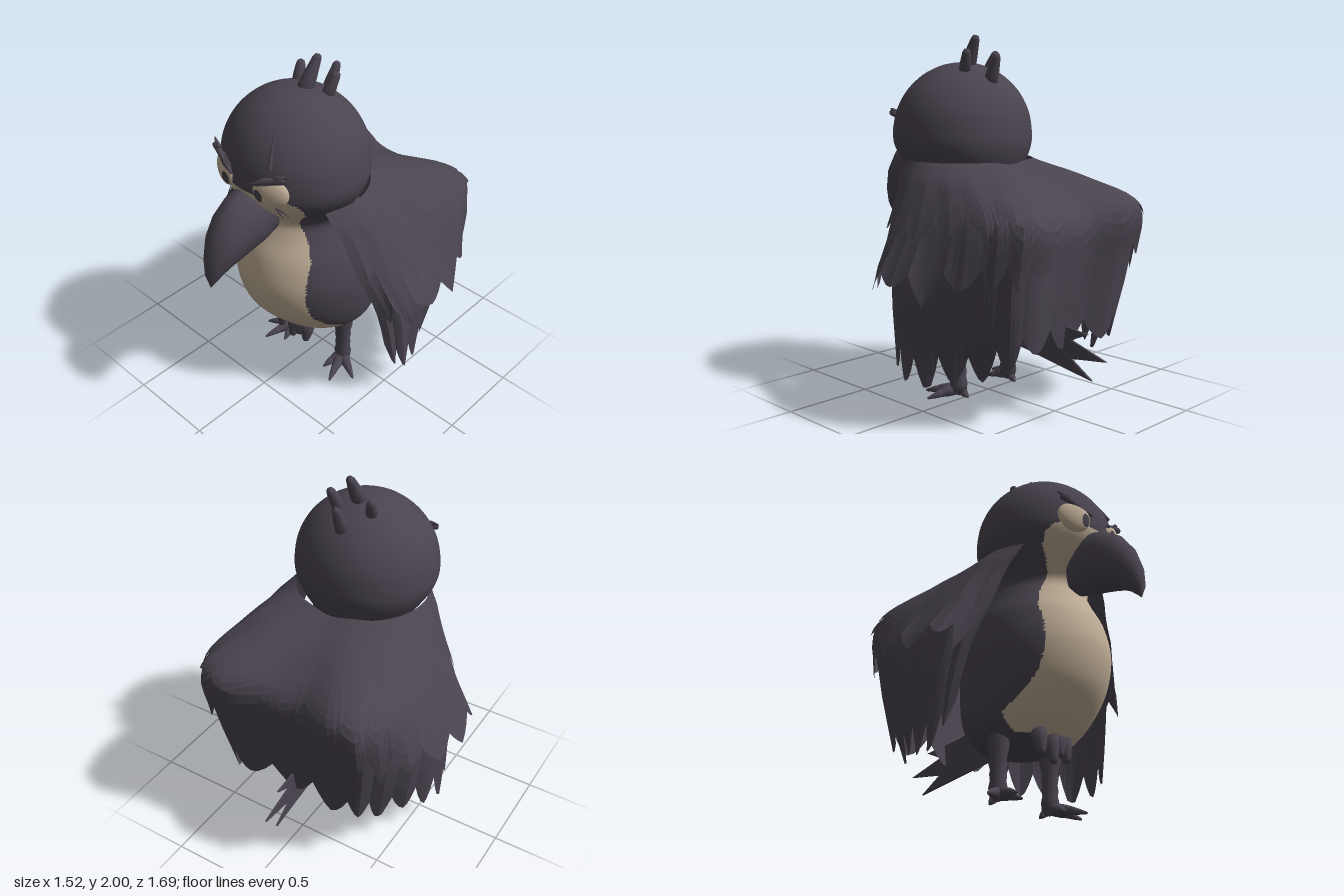
import * as THREE from 'three';

const plumage = new THREE.MeshStandardMaterial({ color: 0x4a444f, side: THREE.DoubleSide });
plumage.name = 'dark plumage';
const cream = new THREE.MeshStandardMaterial({ color: 0xc0ae97 });
cream.name = 'cream';

const V = (x, y, z) => new THREE.Vector3(x, y, z);

function add(parent, name, geo, mat = plumage) {
  const mesh = new THREE.Mesh(geo, mat);
  mesh.name = name;
  parent.add(mesh);
  return mesh;
}

// Grid of (rows+1) x (cols+1) points from fn(row 0..1, col 0..1)
function gridGeometry(rows, cols, fn) {
  const pos = [], index = [];
  for (let i = 0; i <= rows; i++)
    for (let j = 0; j <= cols; j++) pos.push(...fn(i / rows, j / cols).toArray());
  for (let i = 0; i < rows; i++)
    for (let j = 0; j < cols; j++) {
      const a = i * (cols + 1) + j, b = a + cols + 1;
      index.push(a, b, a + 1, a + 1, b, b + 1);
    }
  const geo = new THREE.BufferGeometry();
  geo.setAttribute('position', new THREE.Float32BufferAttribute(pos, 3));
  geo.setIndex(index);
  geo.computeVertexNormals();
  return geo;
}

// Sort triangles into dark (group 0) and cream (group 1) by their centre
function paint(geo, isCream) {
  const p = geo.attributes.position, idx = geo.index.array, lists = [[], []];
  for (let i = 0; i < idx.length; i += 3) {
    const c = V(0, 0, 0);
    for (let k = 0; k < 3; k++) c.add(V(0, 0, 0).fromBufferAttribute(p, idx[i + k]));
    c.divideScalar(3);
    lists[isCream(c) ? 1 : 0].push(idx[i], idx[i + 1], idx[i + 2]);
  }
  geo.setIndex([...lists[0], ...lists[1]]);
  geo.clearGroups();
  geo.addGroup(0, lists[0].length, 0);
  geo.addGroup(lists[0].length, lists[1].length, 1);
  return geo;
}

// Piecewise linear lookup in [[key, value], ...]
function lookup(table, k) {
  if (k < table[0][0] || k > table[table.length - 1][0]) return -1;
  const i = Math.max(1, table.findIndex((e) => e[0] >= k));
  const [a, b] = [table[i - 1], table[i]];
  return THREE.MathUtils.mapLinear(k, a[0], b[0], a[1], b[1]);
}

// Tapered round-tipped finger from a to b
function spike(parent, name, a, b, r0, r1) {
  const len = a.distanceTo(b);
  const prof = [[0, 0], [r0, 0], [(r0 + r1) / 2 * 1.05, len * 0.5], [r1, len - r1], [r1 * 0.7, len - r1 * 0.3], [0, len]];
  const geo = new THREE.LatheGeometry(prof.map(([x, y]) => new THREE.Vector2(x, y)), 10);
  geo.applyQuaternion(new THREE.Quaternion().setFromUnitVectors(V(0, 1, 0), b.clone().sub(a).normalize()));
  geo.translate(a.x, a.y, a.z);
  return add(parent, name, geo);
}

// Head and body as one loft of ellipses: y, half width, half depth, centre z
function bodyAndHead(g) {
  const rings = [
    [0.31, 0.001, 0.001, 0], [0.325, 0.18, 0.18, 0], [0.36, 0.265, 0.25, 0.01], [0.45, 0.335, 0.33, 0.04],
    [0.6, 0.37, 0.4, 0.09], [0.78, 0.385, 0.42, 0.115], [0.95, 0.36, 0.385, 0.12], [1.08, 0.3, 0.31, 0.13],
    [1.16, 0.27, 0.27, 0.14], [1.22, 0.29, 0.27, 0.16], [1.3, 0.345, 0.325, 0.18], [1.38, 0.388, 0.368, 0.195],
  ];
  for (const d of [0, 18, 36, 54, 70, 82, 90]) {
    const a = THREE.MathUtils.degToRad(d), c = Math.max(Math.cos(a), 0.002);
    rings.push([1.46 + 0.395 * Math.sin(a), 0.4 * c, 0.38 * c, 0.2]);
  }
  const size = new THREE.CatmullRomCurve3(rings.map((r) => V(r[0], r[1], r[2])), false, 'catmullrom', 0.5);
  const centre = new THREE.CatmullRomCurve3(rings.map((r) => V(r[3], 0, 0)), false, 'catmullrom', 0.5);
  const geo = gridGeometry(150, 180, (r, c) => {
    const s = size.getPoint(r), z = centre.getPoint(r).x, a = c * Math.PI * 2;
    return V(s.y * Math.sin(a), s.x, z - s.z * Math.cos(a));
  });
  const bib = [[0.35, 0.28], [0.42, 0.308], [0.5, 0.29], [0.62, 0.268], [0.8, 0.27], [0.98, 0.265], [1.08, 0.22],
    [1.16, 0.175], [1.2, 0.175], [1.25, 0.21], [1.31, 0.265], [1.37, 0.285], [1.41, 0.27], [1.44, 0.21]];
  paint(geo, (c) => c.z > 0.15 && Math.abs(c.x) < lookup(bib, c.y));
  add(g, 'bodyAndHead', geo, [plumage, cream]);
}

// Hooked beak: top z,y / bottom z,y / half width
function beak(g) {
  const secs = [
    [0.46, 1.42, 0.4, 1.11, 0.1], [0.57, 1.43, 0.5, 1.085, 0.122], [0.64, 1.41, 0.57, 1.075, 0.122],
    [0.72, 1.355, 0.64, 1.06, 0.114], [0.79, 1.26, 0.71, 1.04, 0.093], [0.835, 1.14, 0.765, 1.01, 0.06],
    [0.847, 1.04, 0.805, 0.975, 0.03], [0.828, 0.955, 0.827, 0.954, 0.001],
  ];
  add(g, 'beak', gridGeometry(secs.length - 1, 20, (r, c) => {
    const [tz, ty, bz, by, w] = secs[Math.round(r * (secs.length - 1))];
    const a = -c * Math.PI * 2, k = (1 + Math.cos(a)) / 2;
    return V(w * Math.sin(a), by + (ty - by) * k, bz + (tz - bz) * k);
  }));
}

// Half-closed eyes with painted lid and pupil, and slanted brows
function eye(g, s) {
  const geo = new THREE.SphereGeometry(1, 72, 54).rotateX(Math.PI / 2);
  geo.scale(0.096, 0.086, 0.042).rotateY(s * 0.42).translate(s * 0.16, 1.472, 0.533);
  paint(geo, (c) => {
    const x = Math.abs(c.x);
    const pupil = Math.hypot((x - 0.117) / 0.028, (c.y - 1.455) / 0.038) < 1;
    return c.y < 1.5 + (x - 0.07) * 0.3 && !pupil;
  });
  add(g, 'eye', geo, [plumage, cream]);
  spike(g, 'brow', V(s * 0.245, 1.575, 0.525), V(s * 0.065, 1.503, 0.586), 0.018, 0.008);
  spike(g, 'lash', V(s * 0.2, 1.575, 0.54), V(s * 0.265, 1.598, 0.51), 0.015, 0.004);
}

// Feather cloak: five-point strands from collar to hem, left side front to back
const half = [
  [[0.33, 1.32, 0.33], [0.4, 1.17, 0.28], [0.47, 0.97, 0.25], [0.55, 0.7, 0.17], [0.59, 0.33, 0.1]],
  [[0.37, 1.325, 0.17], [0.45, 1.18, 0.13], [0.54, 0.97, 0.1], [0.61, 0.7, 0.06], [0.615, 0.18, -0.02]],
  [[0.34, 1.325, 0.02], [0.45, 1.19, -0.1], [0.56, 0.99, -0.2], [0.61, 0.72, -0.22], [0.55, 0.21, -0.2]],
  [[0.24, 1.325, -0.11], [0.41, 1.22, -0.32], [0.53, 1.07, -0.52], [0.54, 0.76, -0.5], [0.43, 0.24, -0.39]],
  [[0.13, 1.325, -0.16], [0.28, 1.23, -0.45], [0.42, 1.09, -0.69], [0.41, 0.8, -0.65], [0.35, 0.36, -0.58]],
  [[0, 1.31, -0.18], [0, 1.21, -0.42], [0, 1.04, -0.62], [0, 0.78, -0.6], [0, 0.36, -0.54]],
];
const flares = [0.04, 0.12, 0.11, 0.03, 0.012, 0.008];

function cloak(g) {
  const mirrored = half.slice(0, 5).reverse().map((st) => st.map(([x, y, z]) => [-x, y, z]));
  const strands = [...half, ...mirrored].map((st) => new THREE.CatmullRomCurve3(st.map((p) => V(...p))));
  // name, feather count, hem position, notch depth, flare, lift
  const tiers = [['lowerFeathers', 15, 1, 0.075, 0, 0], ['middleFeathers', 17, 0.75, 0.08, 1, 0.008], ['upperFeathers', 15, 0.52, 0.09, 0.3, 0.016]];
  for (const [name, count, hem, notch, flare, lift] of tiers) {
    const geo = gridGeometry(12, count * 6, (t, u) => {
      const f = (u * count) % 1, edge = Math.abs(2 * f - 1), id = Math.floor(u * count);
      const vary = 0.03 * Math.sin(id * 2.4 + hem * 9) * (1 - edge);
      const end = hem - notch * Math.pow(edge, 1.6) + vary * (hem < 1 ? 1 : 0.5);
      const p = new THREE.CatmullRomCurve3(strands.map((c) => c.getPoint(Math.min(1, t * end)))).getPoint(u);
      const k = Math.abs(u - 0.5) * 2, fi = (1 - k) * 5, i0 = Math.min(4, Math.floor(fi));
      const fl = THREE.MathUtils.lerp(flares[i0], flares[i0 + 1], fi - i0) * flare;
      const out = V(p.x, 0, p.z + 0.1).normalize();
      return p.addScaledVector(out, fl * t * t * t + lift * Math.min(1, t * 3) + 0.018 * (1 - edge) * t);
    }).toNonIndexed();
    geo.computeVertexNormals();
    add(g, name, geo);
  }
}

// Upright tail fan on the centre line
function tail(g) {
  const pts = [[0.15, 0.6], [0.45, 0.5], [0.72, 0.47], [0.61, 0.42], [0.84, 0.35], [0.61, 0.32], [0.75, 0.23], [0.45, 0.28], [0.15, 0.33]];
  const shape = new THREE.Shape(pts.map((p) => new THREE.Vector2(...p)));
  add(g, 'tail', new THREE.ExtrudeGeometry(shape, { depth: 0.012, bevelEnabled: false }).translate(0, 0, -0.006).rotateY(Math.PI / 2));
}

function legAndFoot(g, s) {
  const leg = new THREE.Group();
  leg.name = 'leg';
  g.add(leg);
  const prof = [[0.001, 0.03], [0.045, 0.04], [0.05, 0.08], [0.042, 0.12], [0.046, 0.15], [0.041, 0.18], [0.047, 0.21], [0.044, 0.24], [0.055, 0.29], [0.06, 0.38]];
  add(leg, 'shin', new THREE.LatheGeometry(prof.map((p) => new THREE.Vector2(...p)), 14).translate(s * 0.2, 0, 0.035));
  for (const [x, z] of [[0.36, 0.12], [0.27, 0.23], [0.165, 0.17], [0.19, -0.035]]) {
    const base = V(s * 0.2, 0.05, 0.04), tip = V(s * x, 0.01, z), mid = base.clone().lerp(tip, 0.65).setY(0.03);
    spike(leg, 'toe', base, mid, 0.034, 0.024);
    spike(leg, 'claw', base.clone().lerp(mid, 0.8), tip, 0.024, 0.007);
  }
}

export function createModel() {
  const g = new THREE.Group();
  g.name = 'bird';
  bodyAndHead(g);
  beak(g);
  cloak(g);
  tail(g);
  for (const s of [1, -1]) {
    eye(g, s);
    legAndFoot(g, s);
  }
  // scar over and wrinkles under the left eye
  spike(g, 'scar', V(0.15, 1.6, 0.53), V(0.11, 1.75, 0.448), 0.014, 0.004);
  spike(g, 'wrinkle', V(0.18, 1.39, 0.527), V(0.195, 1.31, 0.49), 0.006, 0.002);
  spike(g, 'wrinkle', V(0.2, 1.385, 0.522), V(0.24, 1.34, 0.49), 0.006, 0.002);
  // crest
  spike(g, 'crest', V(0.01, 1.78, 0.17), V(0.03, 2, 0.06), 0.05, 0.024);
  spike(g, 'crest', V(0.095, 1.77, 0.09), V(0.13, 1.925, 0.03), 0.036, 0.024);
  spike(g, 'crest', V(-0.085, 1.77, 0.1), V(-0.11, 1.915, 0.04), 0.036, 0.024);
  spike(g, 'crest', V(0.01, 1.7, -0.01), V(0.02, 1.9, -0.09), 0.045, 0.022);
  // tufts under the belly
  for (const [x, y] of [[-0.1, 0.23], [-0.01, 0.205], [0.09, 0.23], [0.04, 0.25]])
    spike(g, 'bellyTuft', V(x, 0.38, 0.215), V(x * 1.05, y, 0.245), 0.05, 0.024);
  return g;
}
